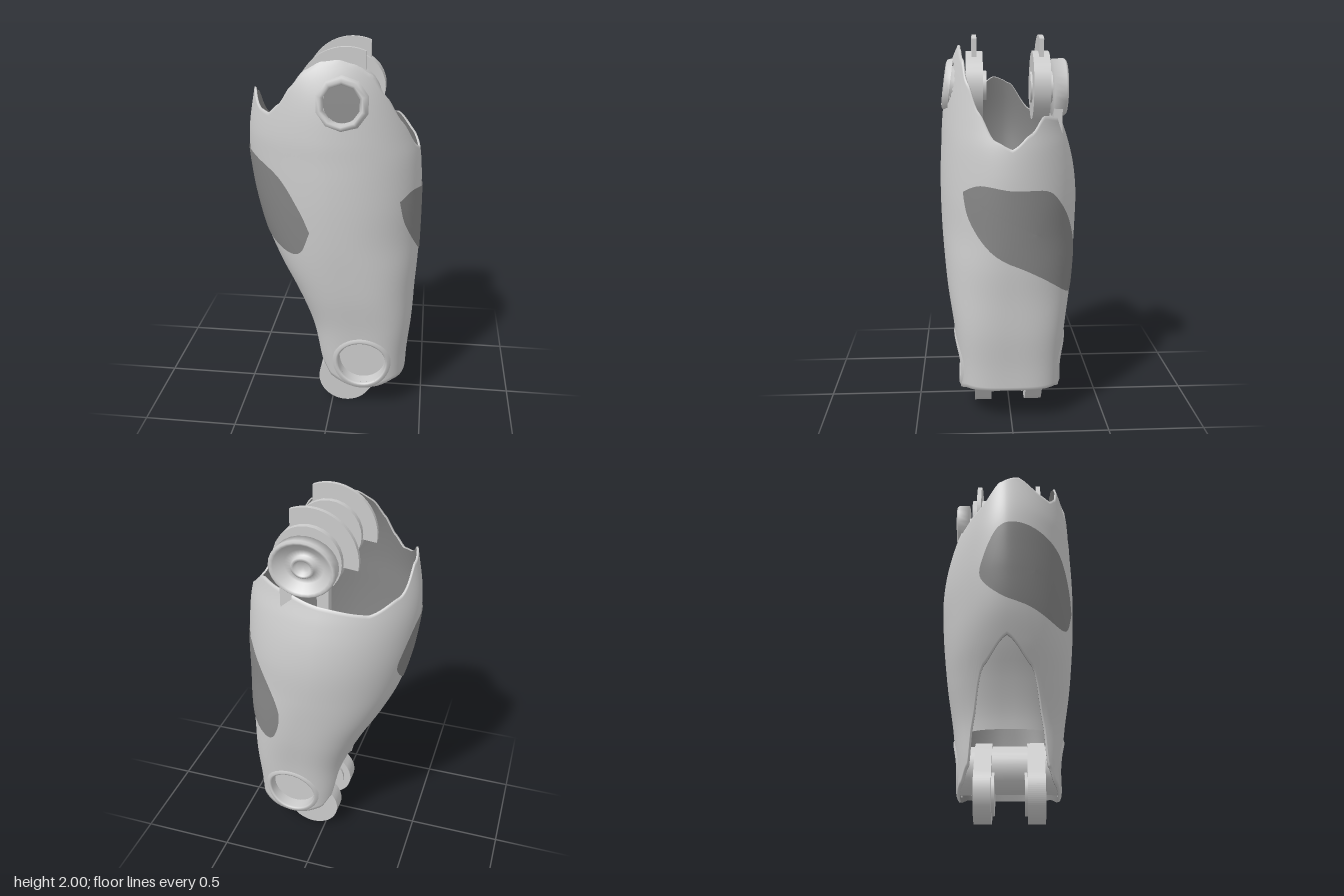
import * as THREE from 'three';

const grey = new THREE.MeshStandardMaterial({ color: 0xcccccc, side: THREE.DoubleSide });
const dark = new THREE.MeshStandardMaterial({ color: 0x858585, side: THREE.DoubleSide });
const RAD = Math.PI / 180;

// Cross-sections of the shell: y, centre x, half width, front depth, back depth, squareness at +x and at -x
const SECTIONS = [
  [0.1, 0.17, 0.23, 0.265, 0.26, 3.2, 3.2], [0.3, 0.158, 0.252, 0.28, 0.275, 3.1, 3.1],
  [0.5, 0.15, 0.28, 0.3, 0.295, 2.9, 2.9], [0.7, 0.112, 0.328, 0.33, 0.325, 2.5, 2.6],
  [0.85, 0.075, 0.375, 0.345, 0.342, 2.3, 2.3], [1.0, 0.042, 0.412, 0.356, 0.355, 2.1, 2],
  [1.2, 0.015, 0.44, 0.362, 0.362, 2.05, 1.85], [1.34, 0.002, 0.45, 0.36, 0.348, 2, 1.82],
  [1.46, -0.01, 0.45, 0.354, 0.32, 2, 1.82], [1.56, -0.02, 0.437, 0.349, 0.288, 2, 1.85],
  [1.77, -0.025, 0.398, 0.322, 0.24, 2, 1.9], [1.88, -0.02, 0.385, 0.29, 0.23, 2, 2], [1.96, -0.01, 0.37, 0.255, 0.22, 2, 2],
];
const sections = new THREE.CubicInterpolant(SECTIONS.map(s => s[0]), SECTIONS.flatMap(s => s.slice(1)), 6);

// Height of the top rim and of the bottom edge by angle (0 = +x, 90 = front)
const RIM = [[0, 1.46], [14, 1.5], [28, 1.63], [42, 1.77], [55, 1.88], [70, 1.93], [82, 1.95], [95, 1.94], [106, 1.9],
  [116, 1.82], [126, 1.73], [135, 1.68], [146, 1.69], [168, 1.77], [190, 1.73], [212, 1.59], [235, 1.52], [270, 1.55],
  [300, 1.59], [323, 1.61], [342, 1.53], [360, 1.46]];
const HEM = [[0, 0.19], [50, 0.185], [90, 0.14], [122, 0.19], [140, 0.27], [150, 0.48], [162, 0.74], [180, 0.88],
  [198, 0.74], [210, 0.48], [220, 0.27], [238, 0.19], [270, 0.14], [310, 0.185], [360, 0.19]];

// Eased height from a rim or hem table
function edgeHeight(table, deg) {
  let i = 0;
  while (i < table.length - 2 && deg > table[i + 1][0]) i++;
  const [[d0, y0], [d1, y1]] = [table[i], table[i + 1]];
  const k = (deg - d0) / (d1 - d0);
  return y0 + (y1 - y0) * 0.5 * (k + k * k * (3 - 2 * k));
}

// Point on the shell at an angle in degrees and a height, moved outward by off
function skin(deg, y, off = 0) {
  const [cx, a, front, back, nLeft, nRight] = sections.evaluate(y);
  const c = Math.cos(deg * RAD), s = Math.sin(deg * RAD), n = c > 0 ? nLeft : nRight;
  return [cx + (a + off) * Math.sign(c) * Math.abs(c) ** (2 / n), y,
    ((s > 0 ? front : back) + off) * Math.sign(s) * Math.abs(s) ** (2 / n)];
}

// Depth of the shell's front or back (side = 1 or -1) at x, y
function skinDepth(x, y, side) {
  const [cx, a, front, back, nLeft, nRight] = sections.evaluate(y), n = x > cx ? nLeft : nRight;
  return side * (side > 0 ? front : back) * Math.max(0, 1 - Math.abs((x - cx) / a) ** n) ** (1 / n);
}

// Pivot openings: x, y, radius, sides they pierce
const HOLES = [[0.06, 1.75, 0.112, [1]], [0.17, 0.3, 0.14, [1, -1]]];
const inHole = (x, y, z) => HOLES.some(([hx, hy, r, sides]) =>
  sides.includes(Math.sign(z)) && Math.abs(z) > 0.15 && Math.hypot(x - hx, y - hy) < r);

// Closed-loop surface from rows of points, optionally leaving out the openings
function loft(rows, pierced = false) {
  const n = rows[0].length, pos = rows.flat(), index = [];
  const tri = (...t) => {
    const mid = [0, 1, 2].map(k => (pos[t[0]][k] + pos[t[1]][k] + pos[t[2]][k]) / 3);
    if (!pierced || !inHole(...mid)) index.push(...t);
  };
  for (let r = 0; r < rows.length - 1; r++) {
    for (let i = 0; i < n; i++) {
      const a = r * n + i, b = r * n + (i + 1) % n;
      tri(a, a + n, b);
      tri(b, a + n, b + n);
    }
  }
  const g = new THREE.BufferGeometry();
  g.setAttribute('position', new THREE.Float32BufferAttribute(pos.flat(), 3));
  g.setIndex(index);
  g.computeVertexNormals();
  return g;
}

const range = (n, f) => Array.from({ length: n }, (_, i) => f(i));
const ANGLES = range(144, i => i * 2.5);
const skinRow = (v, off, drop = 0) => ANGLES.map(d => {
  const lo = edgeHeight(HEM, d), hi = edgeHeight(RIM, d);
  return skin(d, lo + (hi - lo) * v - drop, off);
});

// Panel: a rounded outline of (angle, height) points laid on the shell
function panel(points) {
  const curve = new THREE.SplineCurve([...points, points[0]].map(p => new THREE.Vector2(...p)));
  const edge = curve.getPoints(72).slice(0, -1);
  const mid = points.reduce((m, p) => [m[0] + p[0] / points.length, m[1] + p[1] / points.length], [0, 0]);
  return loft(range(11, k => edge.map(p =>
    skin(mid[0] + (p.x - mid[0]) * k / 10, mid[1] + (p.y - mid[1]) * k / 10, 0.005))));
}

// Lip of a knee opening: follows the shell, then turns inward; rows are radius, lift
function kneeLip(side) {
  const [hx, hy] = HOLES[1];
  const profile = [[0.166, -0.003], [0.155, 0.003], [0.143, 0.007], [0.134, 0.005], [0.13, -0.004], [0.128, -0.07]];
  return loft(profile.map(([r, lift]) => range(48, i => {
    const x = hx + r * Math.cos(i * Math.PI / 24), y = hy + r * Math.sin(i * Math.PI / 24);
    return [x, y, skinDepth(x, y, side) + side * lift];
  })));
}

export function createModel() {
  const model = new THREE.Group();
  const add = (name, geo, mat = grey, x = 0, y = 0, z = 0) => {
    const m = new THREE.Mesh(geo, mat);
    m.name = name;
    m.position.set(x, y, z);
    model.add(m);
    return m;
  };
  // Disc or drum along z between two depths
  const drum = (name, x, y, z0, z1, r) =>
    add(name, new THREE.CylinderGeometry(r, r, z1 - z0, 28).rotateX(Math.PI / 2), grey, x, y, (z0 + z1) / 2);
  // Turned part along z from a profile of (radius, depth)
  const turned = (profile, seg) =>
    new THREE.LatheGeometry(profile.map(p => new THREE.Vector2(...p)), seg).rotateX(Math.PI / 2);
  const plate = (shape, z0, z1) =>
    new THREE.ExtrudeGeometry(shape, { depth: z1 - z0, bevelEnabled: false, curveSegments: 24 }).translate(0, 0, z0);
  // Round-ended bar from one point to another
  const bar = (x0, y0, x1, y1, r) => {
    const a = Math.atan2(y1 - y0, x1 - x0), s = new THREE.Shape();
    s.absarc(x0, y0, r, a + Math.PI / 2, a + Math.PI * 1.5, false);
    s.absarc(x1, y1, r, a - Math.PI / 2, a + Math.PI / 2, false);
    return s;
  };

  // Outer shell with turned-in hem and rim
  add('outerShell', loft([skinRow(0, -0.012), ...range(81, k => skinRow(k / 80, 0)), skinRow(1, -0.01, 0.003)], true));

  // Dark inner lining and floor
  add('innerLining', loft(range(49, k => skinRow(k / 48, -0.012, 0.004)), true), dark);
  add('innerFloor', loft([ANGLES.map(() => [0.1, 0.8, 0]), ANGLES.map(d => skin(d, 0.8, -0.045))]), dark);

  // Recessed wall behind the notch on the right side
  const arc = range(31, i => 135 + i * 3);
  add('kneeRecess', loft(range(13, k => {
    const y = 0.45 + k * 0.04;
    return [...arc.map(d => skin(d, y, -0.035)), ...arc.slice().reverse().map(d => skin(d, y, -0.04))];
  })));

  // Dark side panels
  add('leftPanel', panel([[41, 1.24], [35, 1.1], [16, 0.95], [-16, 0.83], [-52, 0.715], [-70, 0.71], [-73, 0.87],
    [-60, 1.03], [-42, 1.18], [-28, 1.25], [0, 1.26], [25, 1.28]]), dark);
  add('rightPanel', panel([[108, 1.09], [114, 1.21], [127, 1.36], [147, 1.43], [170, 1.455], [190, 1.42],
    [202, 1.27], [203, 1.16], [185, 1.06], [160, 1.01], [133, 0.95], [118, 0.97]]), dark);

  // Faceted collar of the hip opening, tilted with the shell, and its dark backing
  const tilt = -0.13;
  add('hipCollar', turned([[0.098, -0.05], [0.094, 0.004], [0.108, 0.014], [0.126, 0.008], [0.137, -0.02]], 10),
    grey, 0.06, 1.75, 0.322).rotation.x = tilt;
  add('hipBacking', new THREE.CircleGeometry(0.098, 10), dark, 0.06, 1.745, 0.278).rotation.x = tilt;

  // Lips of the knee openings and the knee drum between them
  for (const side of [1, -1]) add('kneeLip', kneeLip(side));
  drum('kneeDrum', 0.17, 0.3, -0.205, 0.205, 0.127);

  // Lower links with a boss on the inner face
  for (const [z0, z1, b0, b1] of [[0.1, 0.19, 0.085, 0.1], [-0.175, -0.085, -0.085, -0.07]]) {
    add('lowerLink', plate(bar(0.075, 0.15, 0.19, 0.3, 0.15), z0, z1));
    drum('lowerLinkBoss', 0.075, 0.15, b0, b1, 0.11);
  }

  // Hip discs with their stop blades and hubs
  const blade = new THREE.Shape();
  blade.moveTo(0.165, 1.75);
  blade.lineTo(0.165, 1.981);
  blade.absarc(0.07, 1.75, 0.25, Math.atan2(0.231, 0.095), Math.PI * 1.05, false);
  for (const [z0, z1] of [[0.135, 0.22], [-0.205, -0.12]]) {
    const mid = (z0 + z1) / 2;
    drum('hipDisc', 0.07, 1.745, z0, z1, 0.175);
    add('stopBlade', plate(blade, mid - 0.012, mid + 0.012));
  }
  drum('frontHub', 0.07, 1.745, 0.115, 0.245, 0.075);
  drum('rearHub', 0.07, 1.735, -0.23, -0.11, 0.08);

  // Rear dish with a ringed boss, and the two struts holding it
  add('rearDish', turned([[0, -0.225], [0.168, -0.225], [0.17, -0.285], [0.16, -0.296], [0.145, -0.29],
    [0.1, -0.25], [0.065, -0.245], [0.06, -0.275], [0.045, -0.278], [0.035, -0.255], [0, -0.255]], 28),
  grey, 0.07, 1.735).scale.y = 0.87;
  for (const x of [-0.03, 0.16]) add('rearStrut', new THREE.BoxGeometry(0.06, 0.6, 0.045), grey, x, 1.34, -0.248);

  return model;
}
